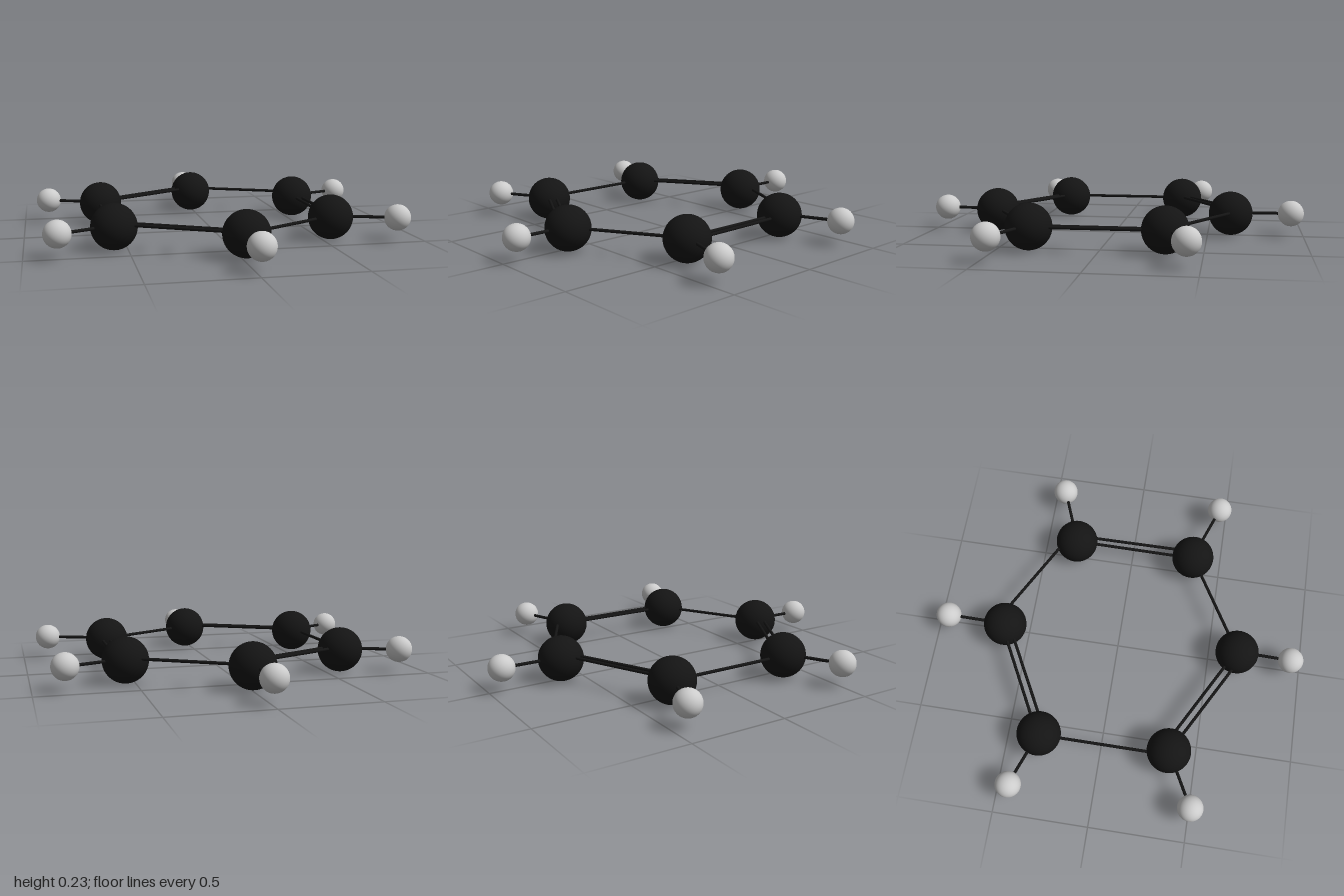
import * as THREE from 'three';

const CARBON_R = 0.115, HYDROGEN_R = 0.067, BOND_R = 0.008;

export function createModel() {
  const model = new THREE.Group();
  model.name = 'ringMolecule';
  const dark = new THREE.MeshStandardMaterial({ color: 0x141414 });
  const grey = new THREE.MeshStandardMaterial({ color: 0xcccccc });

  const ball = (name, position, radius, material) => {
    const mesh = new THREE.Mesh(new THREE.SphereGeometry(radius, 48, 32), material);
    mesh.name = name;
    mesh.position.copy(position);
    model.add(mesh);
  };

  // Thin rod between two points
  const rod = (name, a, b) => {
    const dir = b.clone().sub(a);
    const mesh = new THREE.Mesh(new THREE.CylinderGeometry(BOND_R, BOND_R, dir.length(), 16), dark);
    mesh.name = name;
    mesh.position.copy(a).add(b).multiplyScalar(0.5);
    mesh.quaternion.setFromUnitVectors(new THREE.Vector3(0, 1, 0), dir.normalize());
    model.add(mesh);
  };

  // Six arms: carbon x, z and hydrogen x, z
  const arms = [
    [-0.01, -0.62, -0.007, -0.933],
    [0.545, -0.32, 0.845, -0.437],
    [0.547, 0.34, 0.865, 0.455],
    [0.025, 0.645, 0.02, 0.933],
    [-0.565, 0.355, -0.84, 0.5],
    [-0.58, -0.325, -0.865, -0.43],
  ];
  for (const [cx, cz, hx, hz] of arms) {
    const carbon = new THREE.Vector3(cx, 0.117, cz);
    const hydrogen = new THREE.Vector3(hx, 0.123, hz);
    ball('carbonAtom', carbon, CARBON_R, dark);
    ball('hydrogenAtom', hydrogen, HYDROGEN_R, grey);
    rod('hydrogenBond', new THREE.Vector3(cx, 0.122, cz), hydrogen);
  }

  // Ring bonds, single and paired: start and end points
  const bonds = [
    ['singleBond', 0, 0.13, -0.665, 0.54, 0.135, -0.375],
    ['singleBond', 0.545, 0.12, 0.34, 0.025, 0.12, 0.645],
    ['singleBond', -0.588, 0.12, 0.355, -0.588, 0.12, -0.325],
    ['doubleBond', 0.543, 0.12, -0.32, 0.54, 0.12, 0.34],
    ['doubleBond', 0.577, 0.12, -0.32, 0.581, 0.12, 0.34],
    ['doubleBond', -0.58, 0.13, -0.336, -0.01, 0.143, -0.64],
    ['doubleBond', -0.58, 0.13, -0.29, -0.01, 0.14, -0.598],
    ['doubleBond', -0.565, 0.13, 0.318, 0.025, 0.13, 0.64],
    ['doubleBond', -0.565, 0.13, 0.363, 0.025, 0.13, 0.687],
  ];
  for (const [name, ax, ay, az, bx, by, bz] of bonds) {
    rod(name, new THREE.Vector3(ax, ay, az), new THREE.Vector3(bx, by, bz));
  }

  return model;
}
